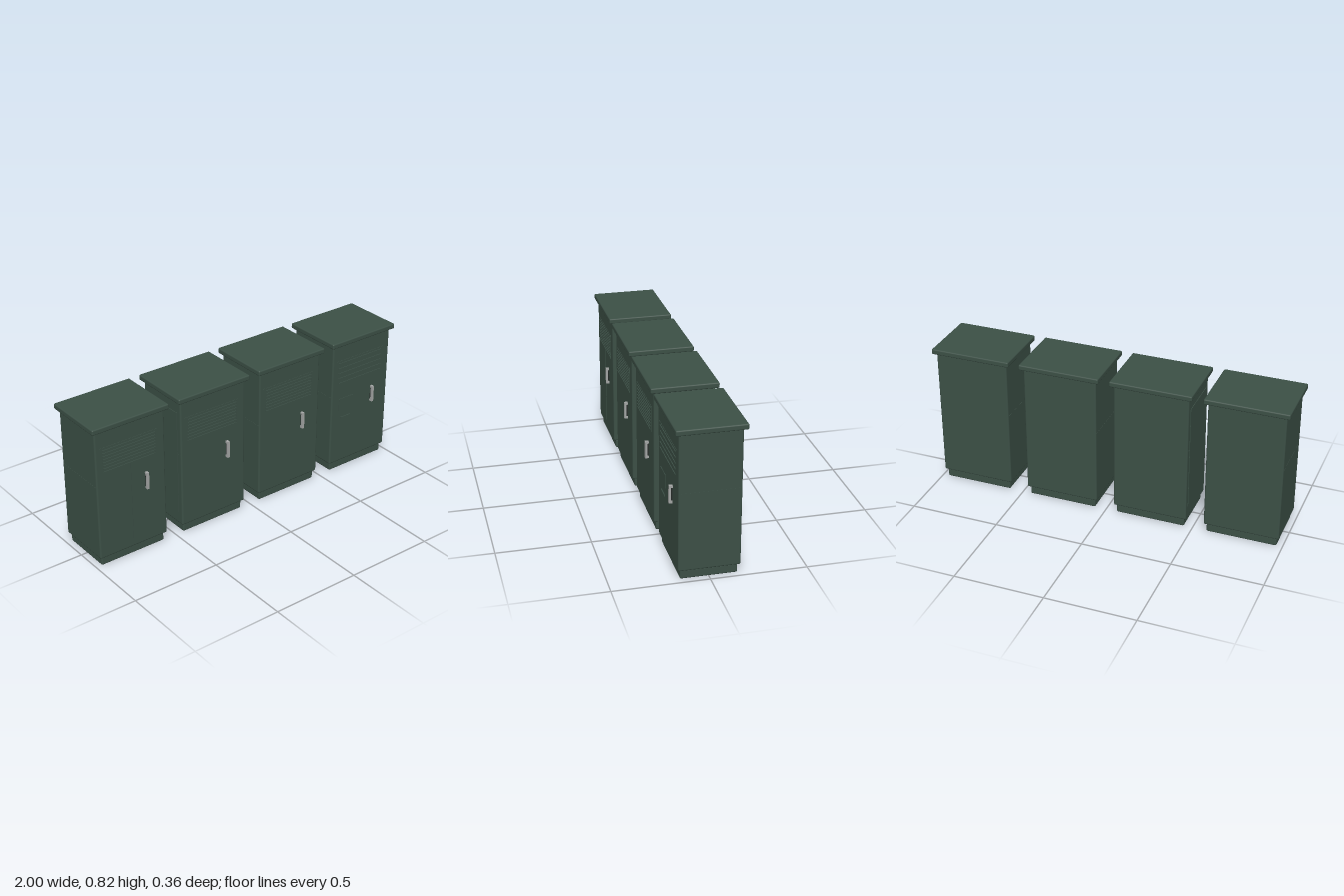
import * as THREE from 'three';
import { RoundedBoxGeometry } from 'three/addons/geometries/RoundedBoxGeometry.js';

const green = new THREE.MeshStandardMaterial({ name: 'dark green paint', color: 0x3c5046 });
const metal = new THREE.MeshStandardMaterial({ name: 'handle grey', color: 0xa4a6a5 });
const dark = new THREE.MeshStandardMaterial({ name: 'handle recess', color: 0x2a302d });

const FRONT = 0.16;   // z of the body's front face
const HALF = 0.2075;  // half the body's width

// Box from its limits on each axis; a radius rounds the edges
function block(parent, name, [x0, x1], [y0, y1], [z0, z1], material = green, radius = 0) {
  const size = [x1 - x0, y1 - y0, z1 - z0];
  const geometry = radius
    ? new RoundedBoxGeometry(...size, 2, radius)
    : new THREE.BoxGeometry(...size);
  const mesh = new THREE.Mesh(geometry, material);
  mesh.name = name;
  mesh.position.set((x0 + x1) / 2, (y0 + y1) / 2, (z0 + z1) / 2);
  parent.add(mesh);
  return mesh;
}

// Thin strip or plate standing on the front face
function onFront(parent, name, xs, ys, height = 0.003) {
  return block(parent, name, xs, ys, [FRONT - 0.002, FRONT + height]);
}

// Grip bar held off the door by two mounts
function addHandle(parent) {
  const handle = new THREE.Group();
  handle.name = 'handle';
  block(handle, 'handleGrip', [0.080, 0.094], [0.372, 0.468], [0.168, 0.179], metal);
  for (const y of [0.372, 0.455])
    block(handle, 'handleMount', [0.080, 0.094], [y, y + 0.013], [0.159, 0.169], metal);
  block(handle, 'handleRecess', [0.082, 0.092], [0.385, 0.455], [0.158, 0.165], dark);
  parent.add(handle);
}

// Horizontal slats, with a trim line above them
function addVent(parent, framed) {
  const vent = new THREE.Group();
  vent.name = 'vent';
  const count = framed ? 8 : 5;
  const step = 0.122 / (count - 1);
  onFront(vent, 'ventTrim', [-0.185, 0.165], [0.690, 0.694], 0.002);
  for (let i = 0; i < count; i++)
    onFront(vent, 'ventSlat', [-0.165, 0.150], [0.552 + i * step, 0.558 + i * step], 0.004);
  if (framed) onFront(vent, 'ventEdge', [0.150, 0.155], [0.550, 0.692], 0.003);
  parent.add(vent);
}

function cabinet(index) {
  const g = new THREE.Group();
  g.name = 'cabinet' + (index + 1);
  block(g, 'plinth', [-0.194, 0.194], [0, 0.052], [-0.147, 0.147], green, 0.008);
  block(g, 'body', [-HALF, HALF], [0.050, 0.790], [-0.16, 0.16], green, 0.009);
  block(g, 'roof', [-0.227, 0.227], [0.789, 0.819], [-0.179, 0.179], green, 0.007);

  // Seam across each side
  for (const s of [-1, 1]) {
    const x = s * HALF;
    block(g, 'sideSeam', [x - 0.001, x + 0.001], [0.474, 0.477], [-0.152, 0.152]);
  }

  addVent(g, index < 3);
  addHandle(g);

  // Details that differ from one cabinet to the next
  if (index === 0) onFront(g, 'doorSeam', [-0.003, 0.003], [0.10, 0.555]);
  if (index === 1 || index === 2) {
    const x = (index === 1 ? -1 : 1) * HALF;
    block(g, 'sidePanel', [x - 0.003, x + 0.003], [0.12, 0.72], [-0.13, 0.13]);
  }
  if (index === 3) {
    onFront(g, 'meterHatch', [-0.153, -0.050], [0.380, 0.455], 0.003);
    onFront(g, 'hatchLatch', [-0.135, -0.068], [0.328, 0.337], 0.005);
  }
  return g;
}

export function createModel() {
  const model = new THREE.Group();
  model.name = 'utilityCabinets';
  for (let i = 0; i < 4; i++) {
    const unit = cabinet(i);
    unit.position.x = (i - 1.5) * 0.5153;
    model.add(unit);
  }
  return model;
}
